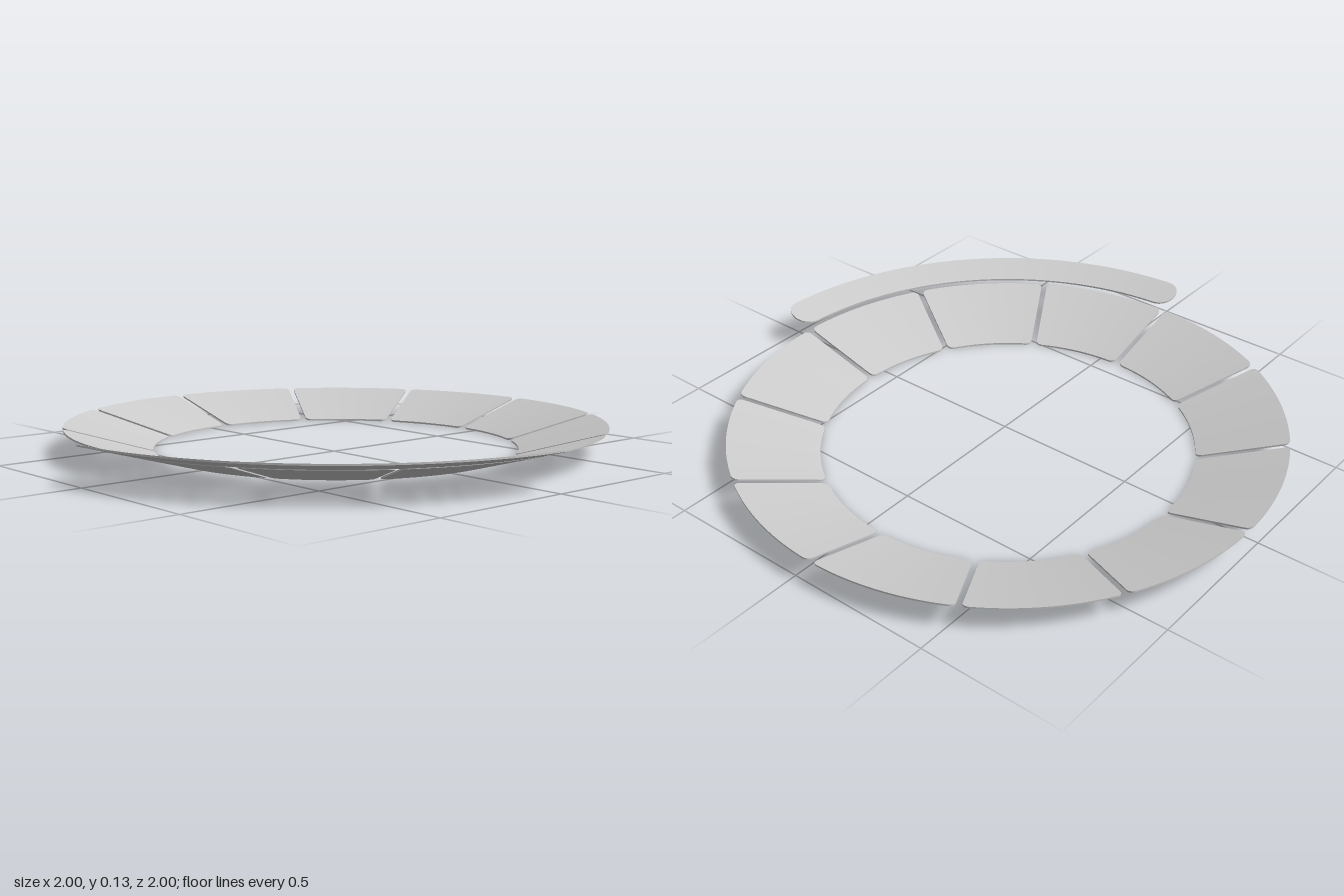
import * as THREE from 'three';

const CENTRE = 0.0665;    // ring centre sits at (CENTRE, -CENTRE)
const INNER = 0.63;       // inner radius, lowest line of the shallow cone
const SLOPE = 0.28;
const THICK = 0.006;

// Thin rounded plate lying on the cone, spanning radii r0..r1 about angle mid.
// gap is the inset from each radial boundary, corner the rounding radius.
function conePlate(r0, r1, mid, half, gap, corner, cols) {
  // Rows across the width: rounded corner, straight middle, rounded corner
  const rows = [];
  const steps = 8;
  for (let i = 0; i <= steps; i++) {
    const t = (i / steps) * Math.PI / 2;
    rows.push([r0 + corner * (1 - Math.cos(t)), corner * (1 - Math.sin(t))]);
  }
  for (let i = steps; i >= 0; i--) rows.push([r0 + r1 - rows[i][0], rows[i][1]]);

  const pos = [], index = [];
  const point = (i, j, lift) => {
    const [r, inset] = rows[i];
    const reach = half - Math.asin((gap + inset) / r);
    const a = mid + reach * (2 * j / cols - 1);
    pos.push(CENTRE + r * Math.sin(a), (r - INNER) * SLOPE + lift, -CENTRE + r * Math.cos(a));
  };
  const last = rows.length - 1;

  // Upper and lower faces
  for (const lift of [THICK, 0]) {
    const base = pos.length / 3;
    for (let i = 0; i <= last; i++) for (let j = 0; j <= cols; j++) point(i, j, lift);
    for (let i = 0; i < last; i++) {
      for (let j = 0; j < cols; j++) {
        const a = base + i * (cols + 1) + j, b = a + cols + 1;
        if (lift) index.push(a, b, b + 1, a, b + 1, a + 1);
        else index.push(a, b + 1, b, a, a + 1, b + 1);
      }
    }
  }

  // Edge wall around the outline
  const loop = [];
  for (let i = 0; i < last; i++) loop.push([i, 0]);
  for (let j = 0; j < cols; j++) loop.push([last, j]);
  for (let i = last; i > 0; i--) loop.push([i, cols]);
  for (let j = cols; j > 0; j--) loop.push([0, j]);
  const base = pos.length / 3;
  for (const [i, j] of loop) {
    point(i, j, THICK);
    point(i, j, 0);
  }
  for (let k = 0; k < loop.length; k++) {
    const p = base + 2 * k, q = base + 2 * ((k + 1) % loop.length);
    index.push(p + 1, q + 1, q, p + 1, q, p);
  }

  const geometry = new THREE.BufferGeometry();
  geometry.setAttribute('position', new THREE.Float32BufferAttribute(pos, 3));
  geometry.setIndex(index);
  geometry.computeVertexNormals();
  return geometry;
}

export function createModel() {
  const model = new THREE.Group();
  model.name = 'segmentedRing';
  const material = new THREE.MeshStandardMaterial({ color: 0xcccccc, side: THREE.DoubleSide });

  // Twelve equal panels separated by parallel gaps
  const panels = new THREE.Group();
  panels.name = 'ringPanels';
  for (let k = 0; k < 12; k++) {
    const mid = (k + 0.5) * Math.PI / 6;
    const panel = new THREE.Mesh(conePlate(INNER, 0.933, mid, Math.PI / 12, 0.01, 0.02, 16), material);
    panel.name = `panel${k + 1}`;
    panels.add(panel);
  }
  model.add(panels);

  // Quarter-circle outer strip with fully rounded ends
  const strip = new THREE.Mesh(conePlate(0.955, 1.067, -Math.PI / 4, Math.PI / 4, 0.005, 0.056, 64), material);
  strip.name = 'outerArc';
  model.add(strip);
  return model;
}
